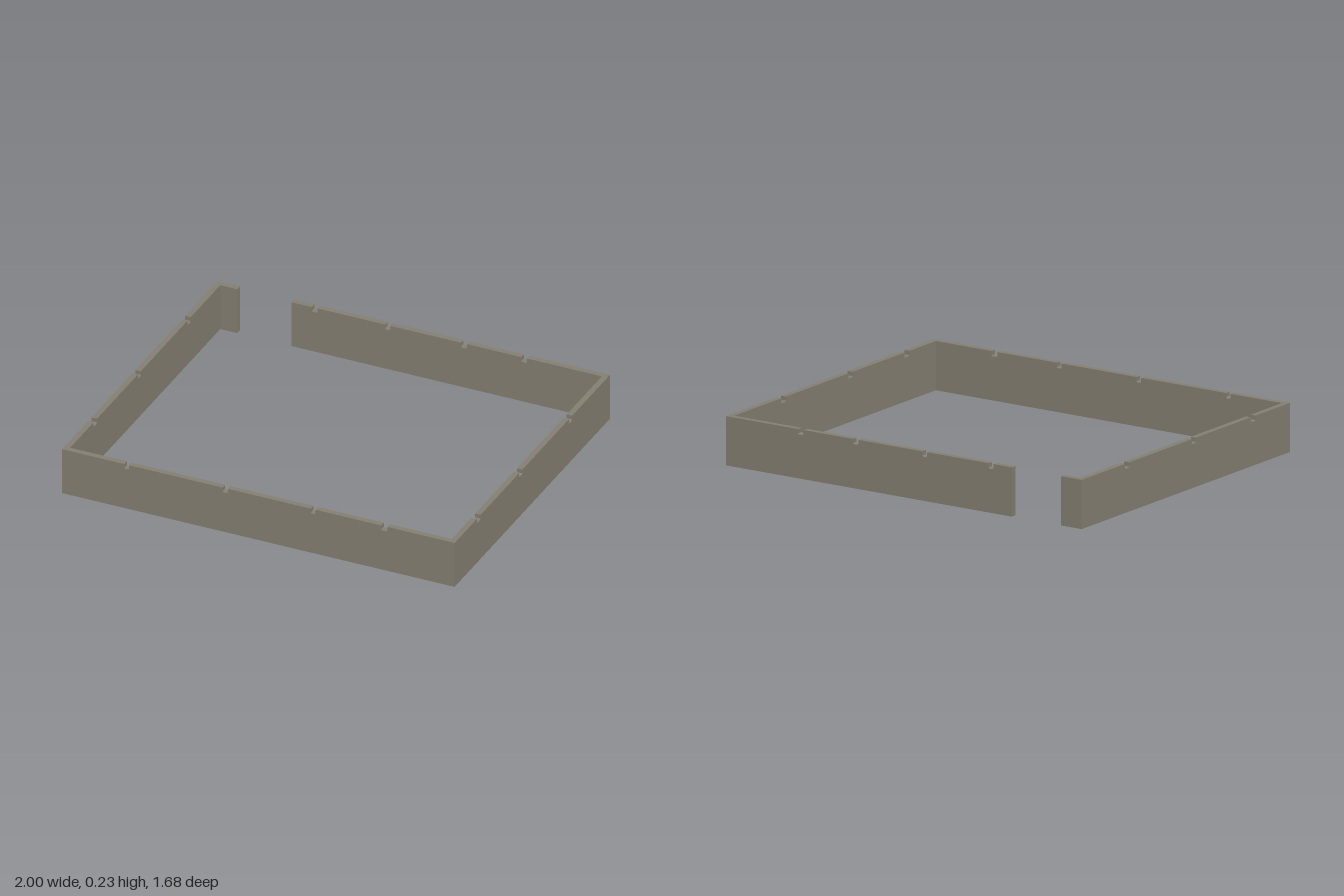
import * as THREE from 'three';

const HEIGHT = 0.235, THICK = 0.028, NOTCH_FLOOR = 0.21, CHAMFER = 0.005;
const HALF_X = 1, HALF_Z = 0.842;

// Wall profile from a to b along its length, with small notches cut in the top edge
function wallGeometry(a, b, notches) {
  const s = new THREE.Shape();
  s.moveTo(a, 0);
  s.lineTo(a, HEIGHT);
  for (const [n0, n1] of notches) {
    s.lineTo(n0, HEIGHT);
    s.lineTo(n0, NOTCH_FLOOR + CHAMFER);
    s.lineTo(n0 + CHAMFER, NOTCH_FLOOR);
    s.lineTo(n1 - CHAMFER, NOTCH_FLOOR);
    s.lineTo(n1, NOTCH_FLOOR + CHAMFER);
    s.lineTo(n1, HEIGHT);
  }
  s.lineTo(b, HEIGHT);
  s.lineTo(b, 0);
  s.closePath();
  return new THREE.ExtrudeGeometry(s, { depth: THICK, bevelEnabled: false });
}

export function createModel() {
  const group = new THREE.Group();
  group.name = 'perimeterWall';
  const stone = new THREE.MeshStandardMaterial({ color: 0x857f72 });
  stone.name = 'grey stone';

  function addWall(name, geometry) {
    const mesh = new THREE.Mesh(geometry, stone);
    mesh.name = name;
    group.add(mesh);
  }

  // Front wall
  addWall('frontWall', wallGeometry(-HALF_X, HALF_X,
    [[-0.683, -0.658], [-0.182, -0.155], [0.267, 0.291], [0.626, 0.658]])
    .translate(0, 0, HALF_Z - THICK));

  // Back wall, split by the gateway
  addWall('backWallLong', wallGeometry(-0.608, HALF_X,
    [[-0.505, -0.477], [-0.132, -0.105], [0.255, 0.284], [0.562, 0.592]])
    .translate(0, 0, -HALF_Z));
  addWall('backWallStub', wallGeometry(-HALF_X, -0.885, []).translate(0, 0, -HALF_Z));

  // Side walls fit between front and back; the turn maps profile x to -z
  const end = HALF_Z - THICK;
  const sideWall = (notches, x) =>
    wallGeometry(-end, end, notches.map(([z0, z1]) => [-z1, -z0]).reverse())
      .rotateY(Math.PI / 2).translate(x, 0, 0);
  addWall('leftWall', sideWall([[-0.433, -0.397], [0.107, 0.142], [0.56, 0.6]], HALF_X - THICK));
  addWall('rightWall', sideWall([[-0.493, -0.46], [0.048, 0.08], [0.524, 0.56]], -HALF_X));

  return group;
}
